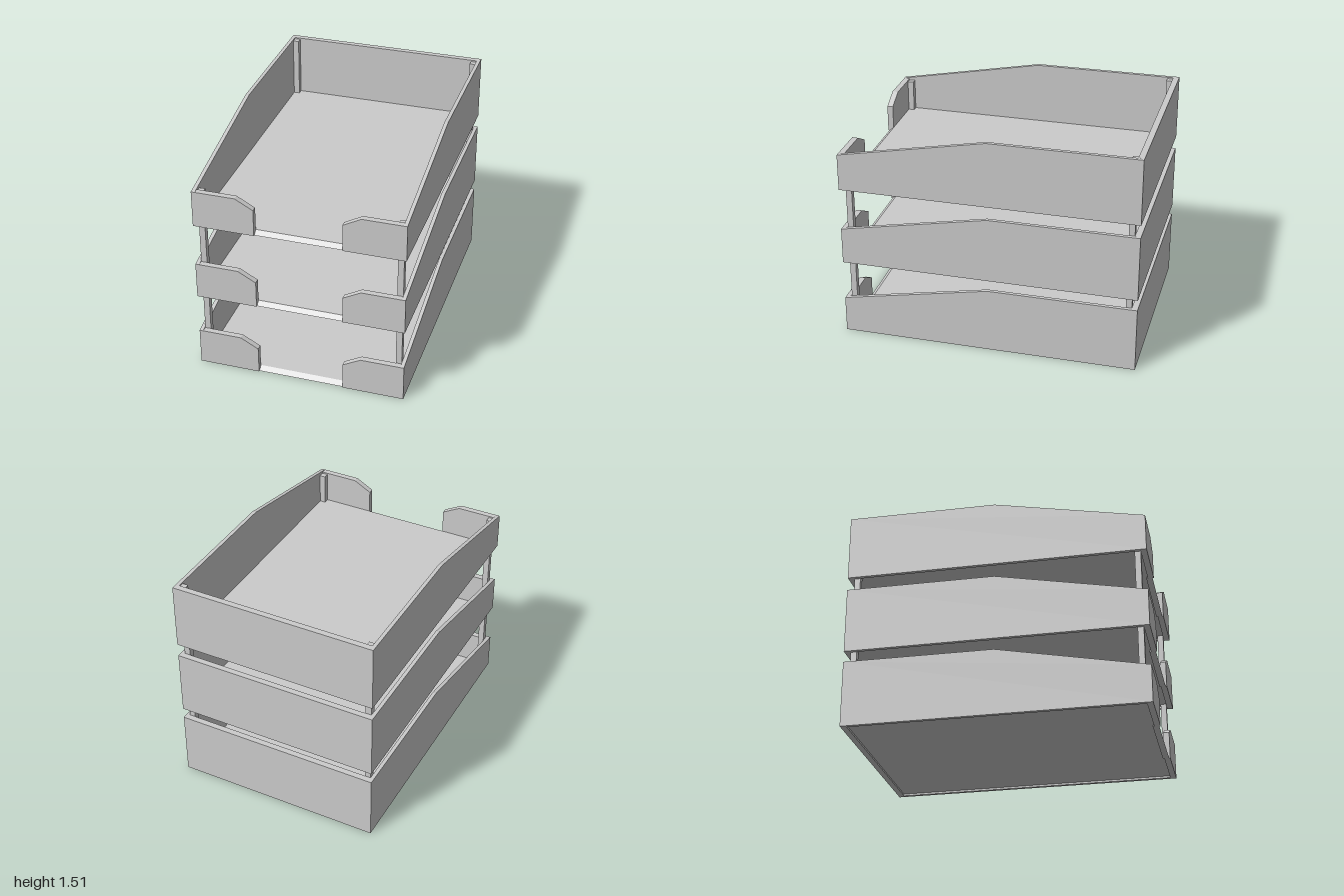
import * as THREE from 'three';

const W = 0.7;        // half width
const SIDE = 0.025;   // side wall thickness
const END = 0.04;     // front and back wall thickness
const BACK_H = 0.45;
const FRONT_H = 0.25;
const FLOOR_TOP = 0.025;
const TRAY_Y = [0, 0.525, 1.065];

const material = new THREE.MeshStandardMaterial({ color: 0xcccccc, flatShading: true });

function addMesh(parent, name, geometry) {
  const mesh = new THREE.Mesh(geometry, material);
  mesh.name = name;
  parent.add(mesh);
  return mesh;
}

function addBox(parent, name, size, position) {
  const mesh = addMesh(parent, name, new THREE.BoxGeometry(...size));
  mesh.position.set(...position);
  return mesh;
}

// Extrudes an outline given as [x, y] pairs along +z
function extrude(points, depth) {
  const shape = new THREE.Shape(points.map(([x, y]) => new THREE.Vector2(x, y)));
  return new THREE.ExtrudeGeometry(shape, { depth, bevelEnabled: false });
}

// Extrudes a [z, y] outline along x, starting at x0
function extrudeAcross(points, x0, width) {
  const geometry = extrude(points.map(([z, y]) => [-z, y]), width);
  return geometry.rotateY(Math.PI / 2).translate(x0, 0, 0);
}

function createTray() {
  const tray = new THREE.Group();
  const inner = W - SIDE;

  // Floor, slightly recessed from below
  addBox(tray, 'floor', [2 * inner, 0.012, 2 - 2 * END], [0, FLOOR_TOP - 0.006, 0]);
  addBox(tray, 'backWall', [2 * inner, BACK_H, END], [0, BACK_H / 2, -1 + END / 2]);

  // Side walls slope down towards the front
  const side = [[-1, 0], [1, 0], [1, FRONT_H], [0, BACK_H - 0.003], [-1, BACK_H]];
  addMesh(tray, 'leftWall', extrudeAcross(side, inner, SIDE));
  addMesh(tray, 'rightWall', extrudeAcross(side, -W, SIDE));

  // Front corner panels with a chamfer beside the opening
  for (const s of [1, -1]) {
    const panel = [[0.29, 0], [inner, 0], [inner, FRONT_H], [0.41, FRONT_H], [0.29, 0.185]];
    const geometry = extrude(panel.map(([x, y]) => [s * x, y]), END);
    addMesh(tray, s > 0 ? 'frontPanelLeft' : 'frontPanelRight', geometry.translate(0, 0, 1 - END));
  }

  // Bevelled sill across the front opening
  const sill = [[1 - END - 0.01, 0], [0.992, 0], [1 - END, FLOOR_TOP], [1 - END - 0.01, FLOOR_TOP]];
  addMesh(tray, 'frontSill', extrudeAcross(sill, -0.29, 0.58));
  return tray;
}

export function createModel() {
  const model = new THREE.Group();
  model.name = 'letterTrayStack';

  TRAY_Y.forEach((y, i) => {
    const tray = createTray();
    tray.name = ['bottomTray', 'middleTray', 'topTray'][i];
    tray.position.y = y;
    model.add(tray);
  });

  // Square corner posts running through all trays
  const base = 0.02;
  for (const sx of [1, -1]) {
    for (const sz of [1, -1]) {
      const top = sz > 0 ? 1.305 : 1.505;
      addBox(model, (sz > 0 ? 'front' : 'back') + 'Post' + (sx > 0 ? 'Left' : 'Right'),
        [0.04, top - base, 0.04], [sx * 0.655, (top + base) / 2, sz * 0.94]);
    }
  }
  return model;
}
